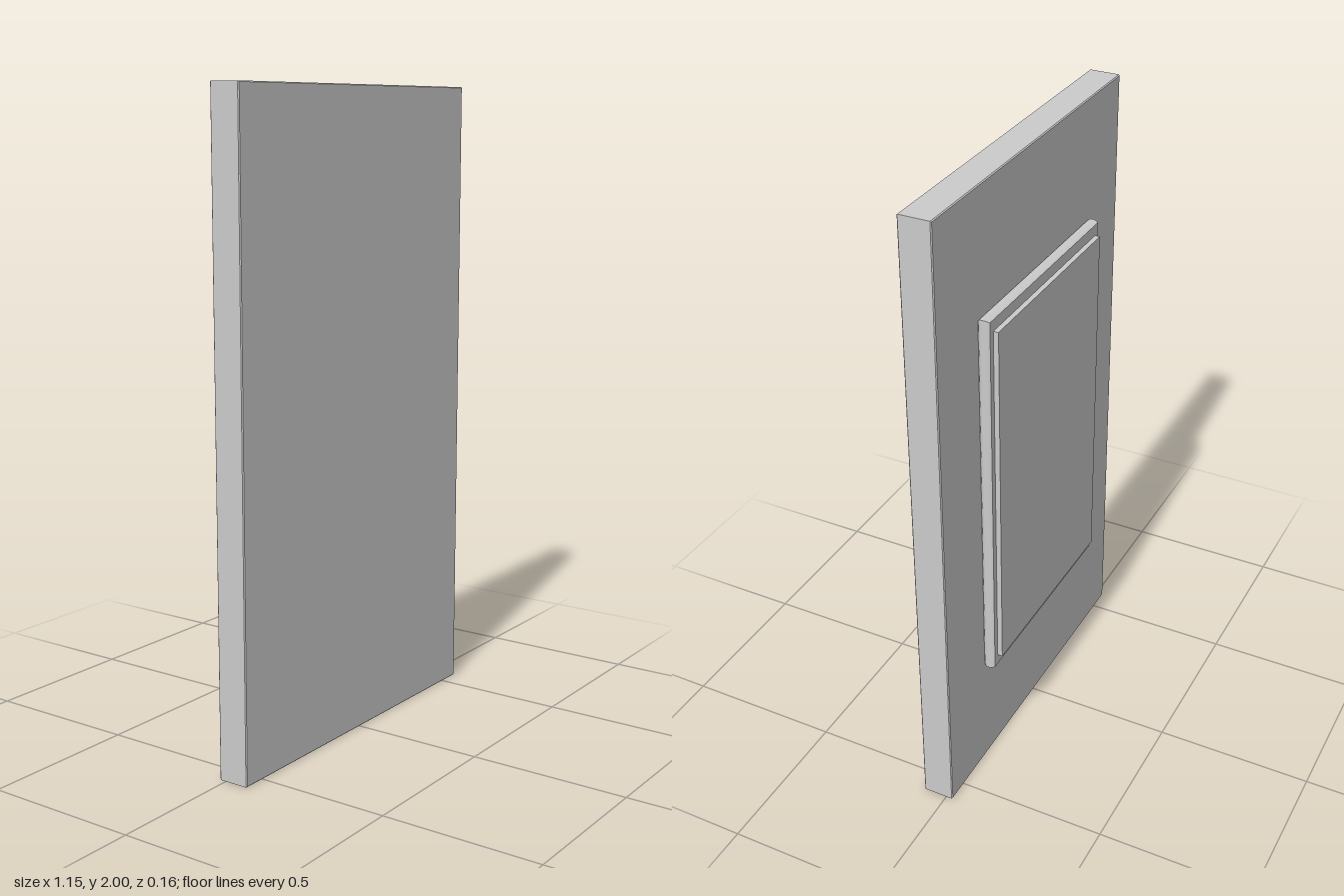
import * as THREE from 'three';

// Stack of rectangular sections [z, halfWidth, halfHeight], ordered front to back and capped at both ends.
function rectLoft(sections) {
  const corners = sections.map(([z, w, h]) => [[-w, -h, z], [w, -h, z], [w, h, z], [-w, h, z]]);
  const pos = [];
  const quad = (a, b, c, d) => pos.push(...a, ...b, ...c, ...a, ...c, ...d);
  quad(...corners[0]);
  for (let i = 0; i < corners.length - 1; i++) {
    const f = corners[i], b = corners[i + 1];
    for (let k = 0; k < 4; k++) {
      const n = (k + 1) % 4;
      quad(f[k], b[k], b[n], f[n]);
    }
  }
  quad(...corners[corners.length - 1].slice().reverse());
  const geo = new THREE.BufferGeometry();
  geo.setAttribute('position', new THREE.Float32BufferAttribute(pos, 3));
  geo.computeVertexNormals();
  return geo;
}

export function createModel() {
  const group = new THREE.Group();
  const material = new THREE.MeshStandardMaterial({ color: 0xcccccc });
  const add = (name, geometry, y) => {
    const mesh = new THREE.Mesh(geometry, material);
    mesh.name = name;
    mesh.position.y = y;
    group.add(mesh);
  };

  // Main slab with a very fine eased edge
  add('slab', rectLoft([
    [0.078, 0.572, 0.997], [0.075, 0.575, 1], [-0.019, 0.575, 1], [-0.022, 0.572, 0.997],
  ]), 1);

  // Moulded frame on the back, with a rounded outer edge
  add('backFrame', rectLoft([
    [-0.022, 0.345, 0.606], [-0.028, 0.352, 0.613], [-0.035, 0.356, 0.617],
    [-0.045, 0.356, 0.617], [-0.055, 0.354, 0.615], [-0.062, 0.351, 0.612],
  ]), 1.003);

  // Raised inner panel
  add('backPanel', rectLoft([
    [-0.06, 0.332, 0.577], [-0.078, 0.332, 0.577],
  ]), 1.003);

  return group;
}
